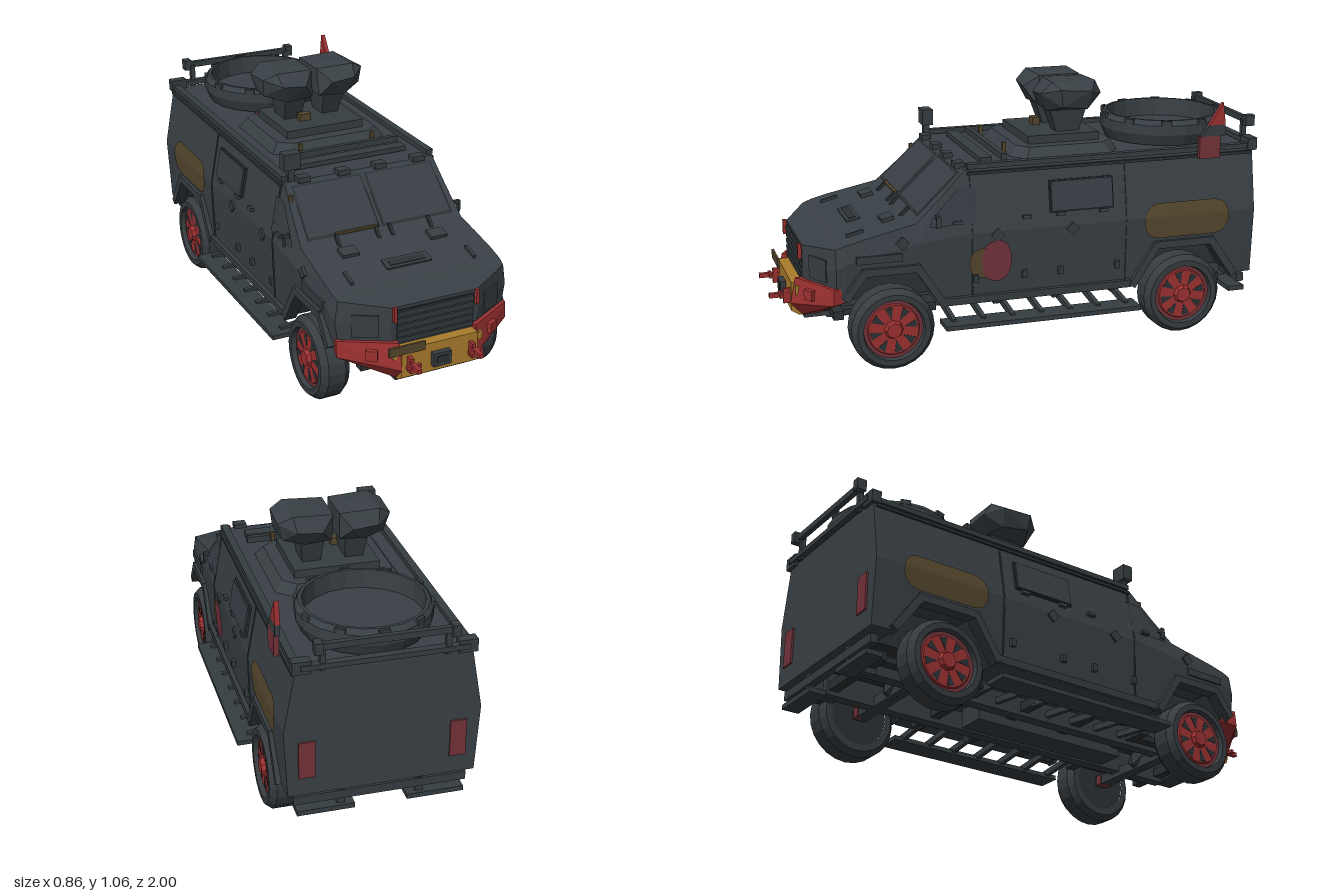
import * as THREE from 'three';
import { ConvexGeometry } from 'three/addons/geometries/ConvexGeometry.js';

const mat = (name, color, side = THREE.FrontSide) => {
  const m = new THREE.MeshStandardMaterial({ color, side });
  m.name = name;
  return m;
};

export function createModel() {
  const body = mat('armour grey', 0x394045), trim = mat('trim grey', 0x363d41), dark = mat('recess dark', 0x2b3033);
  const tyreM = mat('tyre grey', 0x363c40), red = mat('red', 0x9c3030), yellow = mat('yellow', 0xa87c2c);
  const glass = mat('glass', 0x373e44, THREE.DoubleSide);
  const olive = mat('olive', 0x54472d, THREE.DoubleSide), dullRed = mat('dull red', 0x73333a, THREE.DoubleSide);
  const root = new THREE.Group();
  root.name = 'armouredTruck';

  const flat = g => {
    const f = g.index ? g.toNonIndexed() : g;
    f.computeVertexNormals();
    return f;
  };
  const add = (name, geo, m, parent = root) => {
    const mesh = new THREE.Mesh(geo, m);
    mesh.name = name;
    parent.add(mesh);
    return mesh;
  };
  const box = (name, m, w, h, d, x, y, z, rx = 0, rz = 0) => {
    const b = add(name, new THREE.BoxGeometry(w, h, d), m);
    b.position.set(x, y, z);
    b.rotation.set(rx, 0, rz);
    return b;
  };
  const pair = (name, m, w, h, d, x, y, z, rx = 0, rz = 0) =>
    [1, -1].forEach(s => box(name, m, w, h, d, s * x, y, z, rx, s * rz));
  const hull = (name, m, pts, s = 1) =>
    add(name, new ConvexGeometry(pts.map(([x, y, z]) => new THREE.Vector3(s * x, y, z))), m);
  const soup = v => {
    const g = new THREE.BufferGeometry();
    g.setAttribute('position', new THREE.Float32BufferAttribute(v, 3));
    return flat(g);
  };
  const panel = (name, m, pts) => {
    const v = [];
    for (let i = 1; i < pts.length - 1; i++) v.push(...pts[0], ...pts[i], ...pts[i + 1]);
    return add(name, soup(v), m);
  };
  // Joins convex cross-sections (counterclockwise from the front), front to back
  const loft = sections => {
    const v = [], n = sections[0].length, last = sections[sections.length - 1];
    for (let i = 0; i < sections.length - 1; i++) for (let j = 0; j < n; j++) {
      const a = sections[i][j], b = sections[i][(j + 1) % n], c = sections[i + 1][(j + 1) % n], d = sections[i + 1][j];
      v.push(...a, ...d, ...c, ...a, ...c, ...b);
    }
    for (let j = 1; j < n - 1; j++) {
      v.push(...sections[0][0], ...sections[0][j], ...sections[0][j + 1]);
      v.push(...last[0], ...last[j + 1], ...last[j]);
    }
    return soup(v);
  };

  // Hull stations: z, bottom y and half width, waist y and half width, top y and half width
  const stations = [
    [0.872, 0.29, 0.17, 0.40, 0.185, 0.48, 0.18], [0.775, 0.29, 0.345, 0.42, 0.362, 0.50, 0.35],
    [0.74, 0.29, 0.355, 0.44, 0.368, 0.512, 0.355], [0.67, 0.41, 0.366, 0.46, 0.37, 0.53, 0.355],
    [0.46, 0.41, 0.366, 0.50, 0.37, 0.575, 0.348], [0.36, 0.245, 0.36, 0.51, 0.37, 0.665, 0.337],
    [0.26, 0.24, 0.36, 0.52, 0.37, 0.765, 0.325], [-0.43, 0.24, 0.36, 0.52, 0.37, 0.77, 0.325],
    [-0.53, 0.41, 0.366, 0.52, 0.37, 0.77, 0.325], [-0.77, 0.41, 0.366, 0.52, 0.37, 0.77, 0.325],
    [-0.87, 0.25, 0.36, 0.52, 0.37, 0.77, 0.325], [-0.96, 0.25, 0.355, 0.52, 0.37, 0.77, 0.325]];
  add('hull', loft(stations.map(([z, yb, wb, ym, wm, yt, wt]) => [
    [wb, yb, z], [wm, ym, z], [wt, yt, z], [-wt, yt, z], [-wm, ym, z], [-wb, yb, z]])), body);
  const wallX = y => (y < 0.52 ? 0.36 + (y - 0.22) / 30 : 0.37 - (y - 0.52) * 0.18);
  const tilt = y => (y < 0.52 ? -0.03 : 0.178);

  // Windscreen: t runs up the slope
  const screen = (x, t, off) => [x, 0.575 + 0.185 * t + off * 0.74, 0.46 - 0.2 * t + off * 0.67];
  for (const s of [1, -1]) {
    const pane = (x0, x1, x2, t0, t1, off) => [[s * x0, t0], [s * x1, t0], [s * x2, t1], [s * x0, t1]]
      .map(([x, t]) => screen(x, t, off));
    const frame = pane(0.006, 0.315, 0.305, 0.08, 0.94, 0.005), inner = pane(0.016, 0.307, 0.297, 0.12, 0.91, 0.009);
    if (s < 0) { frame.reverse(); inner.reverse(); }
    panel('windscreenFrame', dark, frame);
    panel('windscreen', glass, inner);
    // Cab side window
    const side = [[0.41, 0.56], [0.22, 0.56], [0.22, 0.70], [0.29, 0.70], [0.40, 0.59]];
    const pts = side.map(([z, y]) => [s * (wallX(y) + 0.004), y, z]);
    panel('cabSideWindow', glass, s > 0 ? pts : pts.reverse());
  }
  box('screenLedge', olive, 0.18, 0.008, 0.012, -0.11, 0.604, 0.452);
  box('screenMarker', olive, 0.015, 0.03, 0.015, -0.322, 0.715, 0.31);

  // Side plates, hatches, seams and fittings
  const sidePlate = (name, m, y, z, h, d, t = 0.008) => pair(name, m, t, h, d, wallX(y) + t / 3, y, z, 0, tilt(y));
  sidePlate('sideWindowFrame', dark, 0.64, -0.21, 0.128, 0.266, 0.01);
  sidePlate('sideWindow', glass, 0.64, -0.21, 0.118, 0.256, 0.018);
  for (const z of [0.24, -0.4]) {
    sidePlate('doorSeamLower', trim, 0.39, z, 0.26, 0.006, 0.005);
    sidePlate('doorSeamUpper', trim, 0.635, z, 0.22, 0.006, 0.005);
  }
  for (const z of [0.30, 0.02, -0.12, -0.30]) sidePlate('hinge', trim, 0.57, z, 0.014, 0.035, 0.018);
  for (const z of [0.23, 0.03, -0.12, -0.36]) sidePlate('doorHandle', trim, 0.34, z, 0.03, 0.02, 0.018);
  for (const z of [0.52, 0.14, -0.17])
    pair('gunPort', trim, 0.012, 0.038, 0.038, 0.371, 0.508, z, Math.PI / 4);
  sidePlate('sillRail', trim, 0.255, -0.03, 0.03, 0.78, 0.02);
  pair('roofRail', trim, 0.03, 0.02, 1.2, 0.318, 0.778, -0.35);
  pair('gutter', dark, 0.012, 0.012, 1.2, 0.332, 0.752, -0.35);
  pair('mirrorArm', trim, 0.025, 0.015, 0.015, 0.375, 0.60, 0.38);
  pair('mirror', trim, 0.008, 0.04, 0.02, 0.383, 0.58, 0.38);
  pair('sideLamp', trim, 0.03, 0.03, 0.18, 0.362, 0.455, 0.61);

  // Rounded paint patches that follow the wall
  const patch = (name, m, cy, cz, ry, rz, straight, s, off) => {
    const g = new THREE.PlaneGeometry(2, 2, 1, 16), p = g.attributes.position;
    for (let i = 0; i < p.count; i++) {
      const v = p.getY(i), y = cy + v * ry;
      const half = straight + rz * Math.sqrt(Math.max(0, 1 - v * v));
      p.setXYZ(i, s * (wallX(y) + off), y, cz - s * p.getX(i) * half);
    }
    add(name, flat(g), m);
  };
  for (const s of [1, -1]) patch('olivePatch', olive, 0.505, -0.66, 0.072, 0.06, 0.125, s, 0.006);
  patch('oliveSpot', olive, 0.40, 0.20, 0.062, 0.055, 0, 1, 0.006);
  patch('redSpot', dullRed, 0.405, 0.145, 0.082, 0.045, 0.015, 1, 0.009);

  // Wheel arch flares
  const arch = pts => {
    for (const s of [1, -1]) for (let i = 0; i < pts.length - 1; i++) {
      const [z0, y0] = pts[i], [z1, y1] = pts[i + 1];
      const f = box('wheelArch', trim, 0.05, 0.03, Math.hypot(z1 - z0, y1 - y0) + 0.02,
        s * 0.356, (y0 + y1) / 2, (z0 + z1) / 2);
      f.rotation.x = -Math.atan2(y1 - y0, z1 - z0);
    }
  };
  arch([[0.74, 0.31], [0.67, 0.405], [0.46, 0.405], [0.36, 0.25]]);
  arch([[-0.43, 0.25], [-0.53, 0.405], [-0.77, 0.405], [-0.87, 0.26]]);

  // Wheels: tyre, rim ring, spokes over dark slots, dark inner drum
  const tyreGeo = flat(new THREE.LatheGeometry([[0.118, -0.06], [0.145, -0.06], [0.165, -0.035], [0.165, 0.035],
    [0.145, 0.06], [0.122, 0.06], [0.115, 0.03]].map(p => new THREE.Vector2(...p)), 24));
  for (const [z, y] of [[0.56, 0.165], [-0.65, 0.185]]) for (const s of [1, -1]) {
    const wheel = new THREE.Group();
    wheel.name = 'wheel';
    wheel.position.set(s * 0.325, y, z);
    wheel.rotation.z = -s * Math.PI / 2;
    root.add(wheel);
    add('tyre', tyreGeo, tyreM, wheel);
    add('innerDrum', flat(new THREE.CylinderGeometry(0.118, 0.118, 0.08, 24)), dark, wheel).position.y = -0.018;
    add('rim', flat(new THREE.CylinderGeometry(0.118, 0.118, 0.02, 24)), dullRed, wheel).position.y = 0.03;
    add('spokeDisc', flat(new THREE.CylinderGeometry(0.1, 0.105, 0.008, 24)), red, wheel).position.y = 0.042;
    add('hub', flat(new THREE.CylinderGeometry(0.03, 0.04, 0.02, 8)), red, wheel).position.y = 0.052;
    for (let i = 0; i < 8; i++) {
      const a = i * Math.PI / 4 + 0.2;
      const slot = add('rimSlot', new THREE.CylinderGeometry(0.024, 0.024, 0.006, 3), dark, wheel);
      slot.position.set(Math.sin(a) * 0.076, 0.0445, Math.cos(a) * 0.076);
      slot.rotation.y = a + Math.PI;
      slot.scale.set(0.8, 1, 1.4);
    }
  }

  // Chassis, axles and running boards
  pair('chassisRail', trim, 0.05, 0.10, 1.66, 0.13, 0.215, -0.05);
  box('bodyTub', dark, 0.46, 0.18, 1.66, 0, 0.345, -0.06);
  box('gearTunnel', trim, 0.12, 0.08, 0.7, 0, 0.19, 0.05);
  for (const z of [0.75, 0.38, 0.1, -0.15, -0.4, -0.85]) box('crossMember', dark, 0.5, 0.035, 0.04, 0, 0.20, z);
  for (const [z, y] of [[0.56, 0.165], [-0.65, 0.185]]) {
    box('axle', trim, 0.56, 0.04, 0.05, 0, y, z);
    add('differential', flat(new THREE.IcosahedronGeometry(0.05, 0)), trim).position.set(0, y + 0.02, z);
    pair('brake', dullRed, 0.03, 0.04, 0.06, 0.24, y, z);
    pair('leafSpring', dark, 0.04, 0.025, 0.36, 0.18, y + 0.03, z);
  }
  pair('runningBoard', trim, 0.10, 0.018, 0.81, 0.38, 0.165, -0.04);
  for (let i = 0; i < 7; i++) pair('boardBracket', trim, 0.24, 0.025, 0.018, 0.26, 0.185, 0.32 - i * 0.12, 0, -0.12);
  box('rearBeam', trim, 0.66, 0.035, 0.03, 0, 0.215, -0.93);
  pair('rearStep', trim, 0.22, 0.02, 0.07, 0.21, 0.165, -0.92);
  pair('rearStepBracket', trim, 0.03, 0.09, 0.12, 0.15, 0.205, -0.88);

  // Nose: grille, headlamps, bumper and tow hooks
  box('grillePlate', dark, 0.32, 0.135, 0.006, 0, 0.40, 0.872);
  for (let i = 0; i < 5; i++) box('grilleSlat', trim, 0.32, 0.021, 0.016, 0, 0.345 + i * 0.027, 0.872, 0.15);
  pair('bonnetCatch', red, 0.012, 0.06, 0.015, 0.172, 0.455, 0.882);
  hull('bumperCentre', yellow, [-0.16, 0.16].flatMap(x =>
    [[x, 0.325, 0.916], [x, 0.21, 0.92], [x, 0.19, 0.89], [x, 0.325, 0.82], [x, 0.19, 0.81]]));
  for (const s of [1, -1]) {
    hull('bumperCorner', red, [[0.16, 0.345, 0.90], [0.16, 0.24, 0.922], [0.16, 0.19, 0.875], [0.16, 0.345, 0.82],
      [0.16, 0.19, 0.81], [0.362, 0.345, 0.785], [0.362, 0.28, 0.79], [0.345, 0.345, 0.72], [0.345, 0.29, 0.72]], s);
    const lamp = box('fogLamp', red, 0.045, 0.04, 0.02, s * 0.255, 0.30, 0.862);
    lamp.rotation.y = s * 0.55;
    box('bumperMarker', yellow, 0.02, 0.035, 0.03, s * 0.178, 0.30, 0.89);
    const head = box('headlampPanel', trim, 0.10, 0.09, 0.008, s * 0.265, 0.405, 0.828);
    head.rotation.y = s * 0.51;
    box('towHookBar', red, 0.016, 0.06, 0.03, s * 0.13, 0.265, 0.93);
    box('towHookShank', red, 0.018, 0.018, 0.08, s * 0.13, 0.27, 0.96);
    box('towHookPin', red, 0.06, 0.014, 0.014, s * 0.13, 0.27, 0.955);
  }
  box('winchFrame', trim, 0.075, 0.055, 0.03, 0, 0.262, 0.925);
  box('winchSlot', dark, 0.05, 0.03, 0.034, 0, 0.262, 0.926);
  box('plate', olive, 0.15, 0.036, 0.009, -0.145, 0.332, 0.928);
  box('skidPlate', trim, 0.32, 0.02, 0.1, 0, 0.185, 0.82);

  // Bonnet fittings
  const bonnetY = z => 0.575 - (z - 0.46) * 0.23;
  box('bonnetVent', trim, 0.19, 0.012, 0.055, 0, bonnetY(0.65) + 0.004, 0.65, 0.23);
  box('bonnetVentSlot', dark, 0.15, 0.014, 0.03, 0, bonnetY(0.65) + 0.005, 0.65, 0.23);
  pair('bonnetLatch', trim, 0.07, 0.02, 0.05, 0.19, bonnetY(0.54) + 0.006, 0.54, 0.23);
  pair('bonnetHandle', trim, 0.012, 0.016, 0.07, 0.26, bonnetY(0.68) + 0.006, 0.68, 0.23);
  for (const x of [0.03, 0.2]) pair('wiper', dark, 0.012, 0.05, 0.012, x, 0.585, 0.47, -0.8);
  for (const x of [0.08, 0.25]) pair('roofLamp', trim, 0.05, 0.022, 0.04, x, 0.772, 0.265);

  // Roof equipment
  box('sensorBox', trim, 0.07, 0.065, 0.045, -0.295, 0.85, 0.25);
  box('sensorPost', trim, 0.025, 0.06, 0.025, -0.295, 0.795, 0.25);
  box('roofBar', trim, 0.52, 0.025, 0.02, 0, 0.79, 0.08);
  box('roofStep', trim, 0.50, 0.02, 0.05, 0, 0.78, 0.15);
  pair('roofMarker', olive, 0.015, 0.04, 0.015, 0.16, 0.805, 0.05);
  hull('turretBase', body, [1, -1].flatMap(s => [[0.25, 0.77, -0.02], [0.25, 0.77, -0.37], [0.19, 0.77, 0.03],
    [0.19, 0.77, -0.42], [0.22, 0.81, -0.04], [0.22, 0.81, -0.35], [0.17, 0.81, 0.0], [0.17, 0.81, -0.4]]
    .map(([x, y, z]) => [s * x, y, z])));
  box('turretPlate', trim, 0.34, 0.035, 0.3, 0, 0.825, -0.2);
  box('turretSight', olive, 0.05, 0.03, 0.03, -0.05, 0.857, -0.15);
  box('turretStrip', dullRed, 0.06, 0.008, 0.01, -0.14, 0.814, -0.385);
  for (const s of [1, -1]) {
    hull('turretNeck', trim, [[0.05, 0.83, -0.19], [0.05, 0.83, -0.28], [0.12, 0.83, -0.19], [0.12, 0.83, -0.28],
      [0.04, 0.945, -0.15], [0.04, 0.945, -0.31], [0.135, 0.945, -0.15], [0.135, 0.945, -0.31]], s);
    hull('turretPod', body, [[0.015, 0.94, -0.14], [0.015, 0.94, -0.32], [0.012, 1.05, -0.16], [0.012, 1.05, -0.33],
      [0.06, 1.0, -0.105], [0.16, 1.01, -0.105], [0.17, 1.055, -0.15], [0.17, 1.055, -0.33], [0.222, 1.03, -0.17],
      [0.222, 1.02, -0.30], [0.215, 0.96, -0.18], [0.20, 0.945, -0.29], [0.13, 0.932, -0.14], [0.12, 0.932, -0.32],
      [0.06, 0.99, -0.36], [0.16, 1.0, -0.36], [0.08, 1.058, -0.24]], s);
  }
  const ring = add('hatchRing', flat(new THREE.LatheGeometry([[0.235, 0], [0.255, 0.045], [0.255, 0.085], [0.24, 0.105],
    [0.228, 0.105], [0.225, 0.03], [0, 0.03]].map(p => new THREE.Vector2(...p)), 20)), body);
  ring.position.set(0, 0.775, -0.695);
  for (let i = 0; i < 10; i++) {
    const a = i * Math.PI / 5;
    const clip = box('ringClip', trim, 0.04, 0.02, 0.012, Math.sin(a) * 0.25, 0.87, -0.695 + Math.cos(a) * 0.25);
    clip.rotation.y = a;
  }

  // Rear light bar and tail lamps
  box('rearBar', trim, 0.52, 0.025, 0.02, 0, 0.865, -0.975);
  pair('rearBarLamp', trim, 0.03, 0.045, 0.04, 0.25, 0.865, -0.979);
  pair('rearBarPost', trim, 0.02, 0.1, 0.02, 0.23, 0.815, -0.965);
  box('rearLedge', trim, 0.62, 0.02, 0.03, 0, 0.785, -0.965);
  pair('rearRoofLamp', trim, 0.07, 0.05, 0.04, 0.305, 0.785, -0.955);
  pair('tailLamp', dullRed, 0.062, 0.15, 0.009, 0.285, 0.40, -0.963);

  // Pennant on the left rear edge
  const pennant = (name, m, pts) => hull(name, m, pts.flatMap(([z, y]) => [[0.343, y, z], [0.362, y, z]]));
  pennant('pennantBase', dullRed, [[-0.71, 0.745], [-0.80, 0.745], [-0.80, 0.835], [-0.71, 0.835]]);
  pennant('pennantBand', trim, [[-0.72, 0.835], [-0.82, 0.835], [-0.82, 0.88], [-0.75, 0.88]]);
  pennant('pennantTip', red, [[-0.75, 0.88], [-0.82, 0.88], [-0.808, 0.97]]);
  return root;
}
